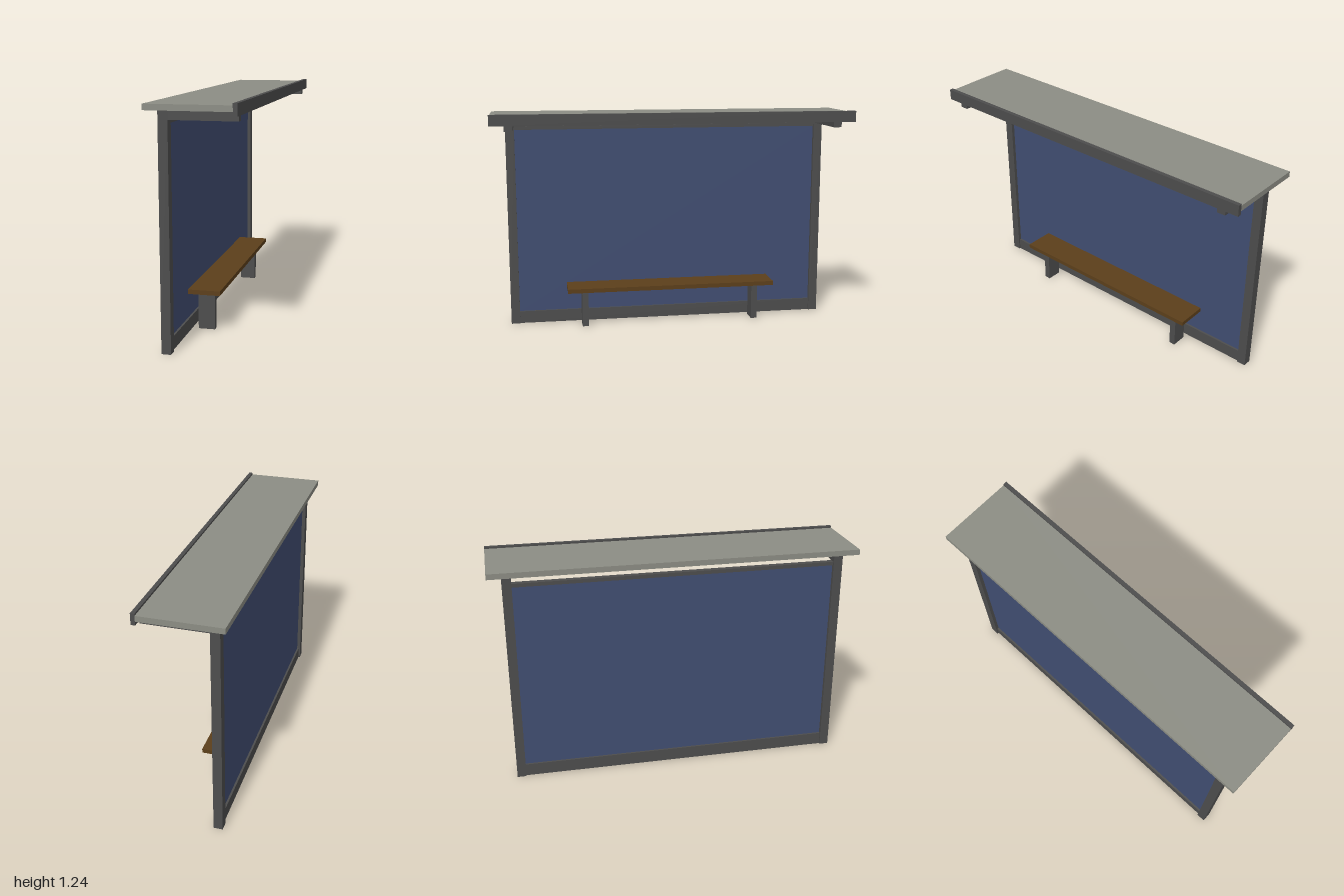
import * as THREE from 'three';

export function createModel() {
  const group = new THREE.Group();
  const material = (name, color) => {
    const m = new THREE.MeshStandardMaterial({ color });
    m.name = name;
    return m;
  };
  const metal = material('dark grey metal', 0x4d4d4d);
  const roofing = material('light grey roofing', 0x8c8d84);
  const glass = material('blue glass', 0x414e72);
  const wood = material('brown wood', 0x5c3f1a);

  // Adds a box spanning the given ranges on each axis
  const box = (name, mat, [x0, x1], [y0, y1], [z0, z1]) => {
    const mesh = new THREE.Mesh(new THREE.BoxGeometry(x1 - x0, y1 - y0, z1 - z0), mat);
    mesh.position.set((x0 + x1) / 2, (y0 + y1) / 2, (z0 + z1) / 2);
    mesh.name = name;
    group.add(mesh);
  };

  // Roof slab and the fascia along its open edge
  box('roof', roofing, [-0.225, 0.203], [1.2, 1.23], [-1, 1]);
  box('fascia', metal, [0.203, 0.225], [1.18, 1.24], [-1, 1]);

  // Rear wall: glass held between two rails
  box('glassPanel', glass, [-0.156, -0.146], [0.07, 1.13], [-0.875, 0.875]);
  box('bottomRail', metal, [-0.167, -0.135], [0, 0.07], [-0.875, 0.875]);
  box('topRail', metal, [-0.167, -0.135], [1.13, 1.15], [-0.875, 0.875]);

  // Bench plank
  box('benchSeat', wood, [-0.135, 0.037], [0.212, 0.236], [-0.6, 0.6]);

  // Posts, roof arms and bench legs at both ends
  for (const [side, s] of [['left', 1], ['right', -1]]) {
    const around = (z, w) => [s * z - w / 2, s * z + w / 2];
    box(side + 'Post', metal, [-0.176, -0.127], [0, 1.2], around(0.9, 0.05));
    box(side + 'RoofArm', metal, [-0.127, 0.213], [1.15, 1.2], around(0.9, 0.046));
    box(side + 'BenchLeg', metal, [-0.101, -0.012], [0, 0.212], around(0.5, 0.036));
  }
  return group;
}
